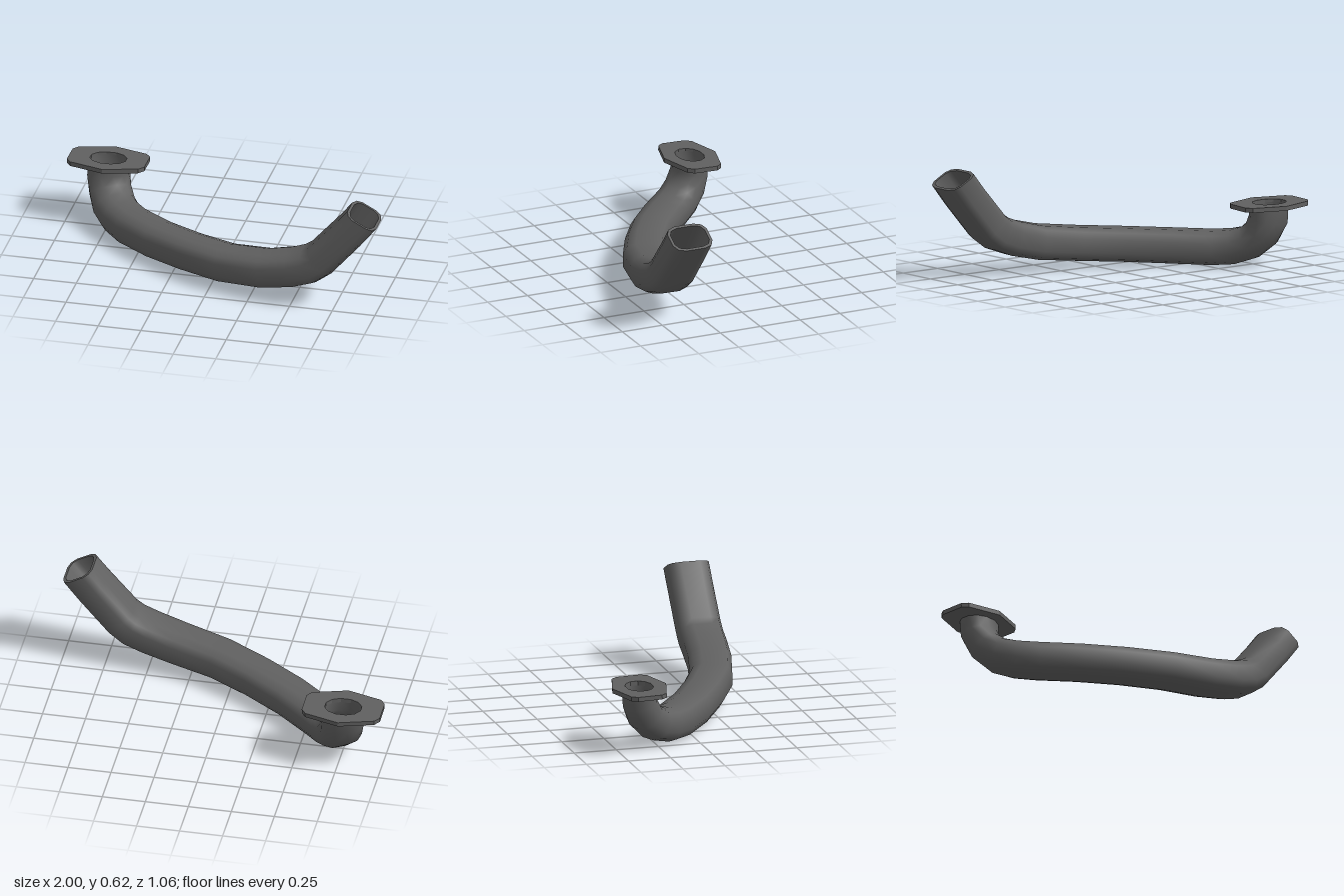
import * as THREE from 'three';

const SIDES = 12;
const WALL = 0.016;

// Centreline stations from the flange neck to the open end: x, y, z, half width, half height
const STATIONS = [
  [-0.77, 0.365, -0.37, 0.12, 0.092],
  [-0.77, 0.28, -0.365, 0.12, 0.093],
  [-0.752, 0.2, -0.33, 0.12, 0.095],
  [-0.715, 0.14, -0.267, 0.12, 0.097],
  [-0.655, 0.112, -0.187, 0.12, 0.098],
  [-0.57, 0.105, -0.1, 0.12, 0.098],
  [-0.38, 0.114, 0.05, 0.12, 0.097],
  [-0.16, 0.128, 0.185, 0.12, 0.096],
  [0.08, 0.143, 0.305, 0.122, 0.096],
  [0.33, 0.169, 0.37, 0.124, 0.098],
  [0.5, 0.208, 0.392, 0.125, 0.1],
  [0.6, 0.245, 0.397, 0.125, 0.1],
  [0.665, 0.292, 0.4, 0.124, 0.098],
  [0.83, 0.48, 0.402, 0.123, 0.096],
  [0.915, 0.585, 0.402, 0.123, 0.096],
];

// Cross-section rings: oval at the neck, rounded rectangle at the open end
function makeRings(inset) {
  const pts = STATIONS.map(s => new THREE.Vector3(s[0], s[1], s[2]));
  const last = pts.length - 1;
  return STATIONS.map((s, i) => {
    const t = pts[Math.min(i + 1, last)].clone().sub(pts[Math.max(i - 1, 0)]).normalize();
    if (i === 0) t.set(0, -1, 0);
    if (i === last) t.set(0.47, 0.88, 0).normalize();
    const u = new THREE.Vector3(-t.z, 0, t.x).normalize();
    u.lerp(new THREE.Vector3(-1, 0, 0), Math.max(0, 1 - i / 4));
    u.addScaledVector(t, -u.dot(t)).normalize();
    const v = u.clone().cross(t);
    const e = 2 / (2.1 + 1.4 * i / last);
    const fit = Math.pow(Math.cos(Math.PI / SIDES), e);
    const bend = c => Math.sign(c) * Math.pow(Math.abs(c), e) / fit;
    return Array.from({ length: SIDES }, (_, j) => {
      const a = (j + 0.5) / SIDES * Math.PI * 2;
      return pts[i].clone()
        .addScaledVector(u, bend(Math.cos(a)) * (s[3] - inset))
        .addScaledVector(v, bend(Math.sin(a)) * (s[4] - inset));
    });
  });
}

// Skin a run of rings
function skin(rings, inward = false) {
  const index = [];
  for (let i = 0; i < rings.length - 1; i++) {
    for (let j = 0; j < SIDES; j++) {
      const k = (j + 1) % SIDES;
      const a = i * SIDES + j, b = i * SIDES + k, c = a + SIDES, d = b + SIDES;
      if (inward) index.push(a, b, c, b, d, c);
      else index.push(a, c, b, b, c, d);
    }
  }
  const geo = new THREE.BufferGeometry().setFromPoints(rings.flat());
  geo.setIndex(index);
  geo.computeVertexNormals();
  return geo;
}

export function createModel() {
  const model = new THREE.Group();
  model.name = 'bentPipe';
  const metal = new THREE.MeshStandardMaterial({ color: 0x606060 });
  metal.name = 'darkGreyMetal';
  const add = (name, geo) => {
    const mesh = new THREE.Mesh(geo, metal);
    mesh.name = name;
    model.add(mesh);
    return mesh;
  };

  // Pipe walls and the ring closing the open end
  const outer = makeRings(0);
  const inner = makeRings(WALL);
  add('pipeOuterWall', skin(outer));
  add('pipeInnerWall', skin(inner, true));
  add('pipeEndRim', skin([outer.at(-1), inner.at(-1)]));

  // Mounting flange with clipped ends and an oval hole
  const half = [[0, -0.16], [0.2, -0.105], [0.227, -0.07], [0.227, 0.07], [0.2, 0.105], [0, 0.16]];
  const outline = [...half, ...half.slice(1, -1).reverse().map(([x, y]) => [-x, y])];
  const shape = new THREE.Shape(outline.map(([x, y]) => new THREE.Vector2(x, y)));
  shape.holes.push(new THREE.Path(inner[0].map(p => new THREE.Vector2(p.x + 0.77, -(p.z + 0.37)))));
  const plate = new THREE.ExtrudeGeometry(shape, { depth: 0.026, bevelEnabled: false });
  plate.rotateX(-Math.PI / 2);
  const flange = add('flange', plate);
  flange.position.set(-0.773, 0.354, -0.37);
  flange.rotation.x = -0.025;

  return model;
}
